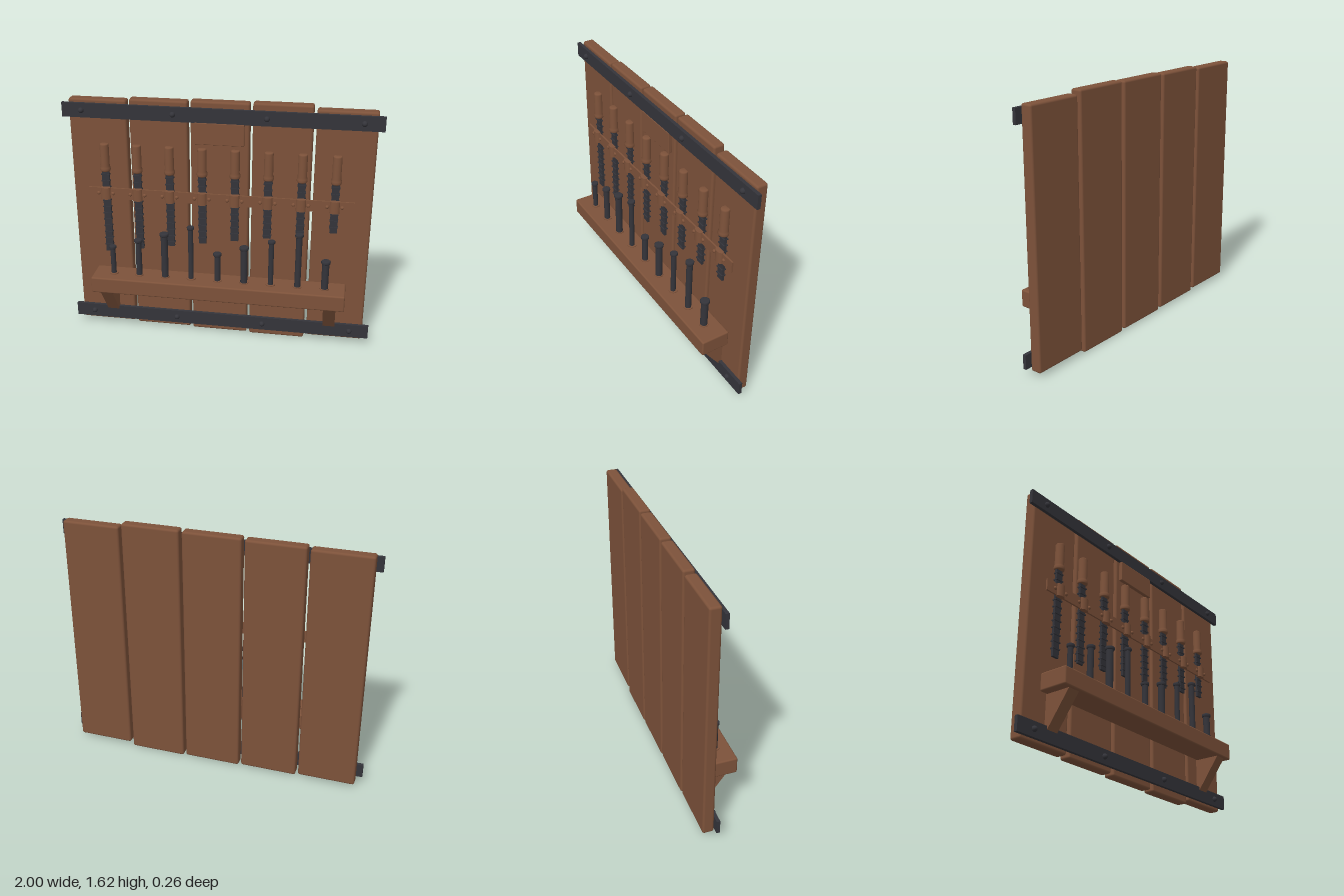
import * as THREE from 'three';
import { RoundedBoxGeometry } from 'three/addons/geometries/RoundedBoxGeometry.js';

export function createModel() {
  const model = new THREE.Group();
  model.name = 'wallToolRack';
  const wood = new THREE.MeshStandardMaterial({ color: 0x7d523a });
  wood.name = 'brown wood';
  const iron = new THREE.MeshStandardMaterial({ color: 0x34343a });
  iron.name = 'dark iron';

  const add = (parent, name, geometry, material, x = 0, y = 0, z = 0) => {
    const mesh = new THREE.Mesh(geometry, material);
    mesh.name = name;
    mesh.position.set(x, y, z);
    parent.add(mesh);
    return mesh;
  };
  const group = (name, x = 0, y = 0, z = 0) => {
    const g = new THREE.Group();
    g.name = name;
    g.position.set(x, y, z);
    model.add(g);
    return g;
  };
  // Box given by its limits on each axis, with optional rounded edges
  const block = (parent, name, material, [x0, x1], [y0, y1], [z0, z1], r = 0) => {
    const size = [x1 - x0, y1 - y0, z1 - z0];
    const geometry = r ? new RoundedBoxGeometry(...size, 2, r) : new THREE.BoxGeometry(...size);
    return add(parent, name, geometry, material, (x0 + x1) / 2, (y0 + y1) / 2, (z0 + z1) / 2);
  };
  // Flattened dome facing forward
  const dome = (parent, name, material, r, depth, x, y, z) => {
    const geometry = new THREE.SphereGeometry(r, 14, 6, 0, Math.PI * 2, 0, Math.PI / 2);
    geometry.rotateX(Math.PI / 2).scale(1, 1, depth / r);
    return add(parent, name, geometry, material, x, y, z);
  };

  // Back planks of uneven length
  const planks = [[0.025, 1.6], [0.015, 1.61], [0.007, 1.616], [0, 1.62], [0.025, 1.597]];
  planks.forEach((span, i) => {
    const x = (i - 2) * 0.388;
    block(model, 'plank', wood, [x - 0.185, x + 0.185], span, [-0.131, -0.058], 0.014);
  });

  // Iron bands with domed bolts
  for (const y of [0.094, 1.531]) {
    block(model, 'ironBand', iron, [-1, 1], [y - 0.046, y + 0.046], [-0.059, -0.037]);
    for (const x of [-0.875, -0.292, 0.292, 0.875]) {
      dome(model, 'bandBolt', iron, 0.018, 0.02, x, y, -0.037);
    }
  }

  // Plain plaque under the top band
  block(model, 'plaque', wood, [-0.155, 0.155], [1.347, 1.487], [-0.06, -0.034], 0.004);

  // Shelf and its triangular brackets
  block(model, 'shelf', wood, [-0.832, 0.832], [0.33, 0.44], [-0.057, 0.132], 0.01);
  const profile = new THREE.Shape([[-0.058, 0.335], [0.117, 0.335], [-0.04, 0.115], [-0.058, 0.115]]
    .map(([z, y]) => new THREE.Vector2(z, y)));
  for (const x of [-0.738, 0.738]) {
    const geometry = new THREE.ExtrudeGeometry(profile, { depth: 0.08, bevelEnabled: false });
    geometry.translate(0, 0, -0.04).rotateY(-Math.PI / 2);
    add(model, 'shelfBracket', geometry, wood, x);
  }

  // Punches standing in the shelf, with rising heights and varied thickness
  const tops = [0.642, 0.7, 0.757, 0.817];
  const radii = [0.017, 0.02, 0.023];
  for (let i = 0; i < 9; i++) {
    const punch = group('punch', (i - 4) * 0.1745, 0, 0.037);
    const top = tops[i % 4], r = radii[i % 3];
    add(punch, 'punchCollar', new THREE.CylinderGeometry(0.03, 0.03, 0.006, 18), wood, 0, 0.442, 0);
    add(punch, 'punchShaft', new THREE.CylinderGeometry(r, r, top - 0.43, 16), iron, 0, (top + 0.43) / 2, 0);
    const cap = [[0, -0.012], [r + 0.003, -0.012], [r + 0.007, -0.007], [r + 0.007, 0.006], [r + 0.003, 0.01], [0, 0.01]]
      .map(([x, y]) => new THREE.Vector2(x, y));
    add(punch, 'punchCap', new THREE.LatheGeometry(cap, 16), iron, 0, top - 0.01, 0);
  }

  // Strap across the hanging rasps
  block(model, 'strap', wood, [-0.853, 0.853], [0.951, 1.025], [-0.031, -0.02]);

  // Hanging rasps, each shorter than the last, with strap loops and rivets
  const handle = [[0, 0], [0.031, 0], [0.034, 0.006], [0.034, 0.022], [0.029, 0.034],
    [0.029, 0.174], [0.024, 0.181], [0, 0.181]].map(([x, y]) => new THREE.Vector2(x, y));
  for (let i = 0; i < 8; i++) {
    const x = -0.74 + i * 0.21, bottom = 0.565 + i * 0.034;
    const rasp = group('rasp', x, 0, -0.042);
    add(rasp, 'raspHandle', new THREE.LatheGeometry(handle, 18), wood, 0, 1.137, 0);
    block(rasp, 'raspBlade', iron, [-0.024, 0.024], [bottom, 1.14], [-0.008, 0.007]);
    for (let y = 1.112; y > bottom + 0.008; y -= 0.045) {
      block(rasp, 'raspTooth', iron, [-0.027, 0.027], [y - 0.004, y + 0.004], [-0.015, 0.014]);
    }
    // Curved loop bulging over the blade
    const loop = new THREE.CylinderGeometry(0.032, 0.032, 0.08, 16).scale(1, 1, 0.65);
    add(model, 'strapLoop', loop, wood, x, 0.988, -0.023);
    for (const side of [-1, 1]) {
      dome(model, 'strapRivet', wood, 0.012, 0.01, x + side * 0.047, 0.988, -0.02);
    }
  }
  return model;
}
